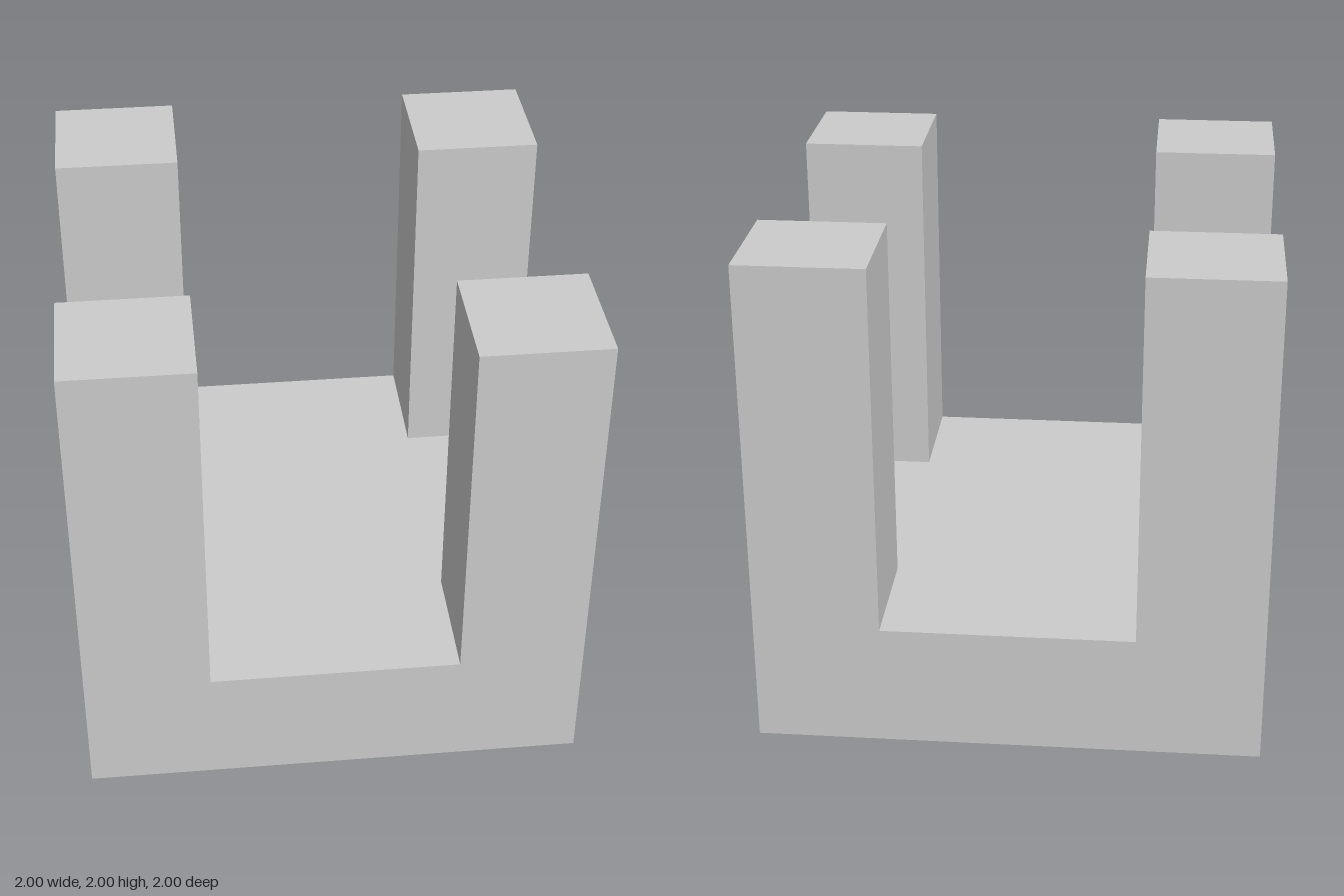
import * as THREE from 'three';

export function createModel() {
  const model = new THREE.Group();
  const material = new THREE.MeshStandardMaterial({ color: 0xcccccc, flatShading: true });

  const addBox = (name, [w, h, d], [x, y, z]) => {
    const mesh = new THREE.Mesh(new THREE.BoxGeometry(w, h, d), material);
    mesh.name = name;
    mesh.position.set(x, y, z);
    model.add(mesh);
  };

  // Square slab
  addBox('base', [2, 0.5, 2], [0, 0.25, 0]);

  // One square post on each corner, flush with the slab's sides
  for (const [side, x] of [['Left', 0.75], ['Right', -0.75]]) {
    for (const [end, z] of [['front', 0.75], ['back', -0.75]]) {
      addBox(`${end}${side}Post`, [0.5, 1.5, 0.5], [x, 1.25, z]);
    }
  }

  return model;
}
